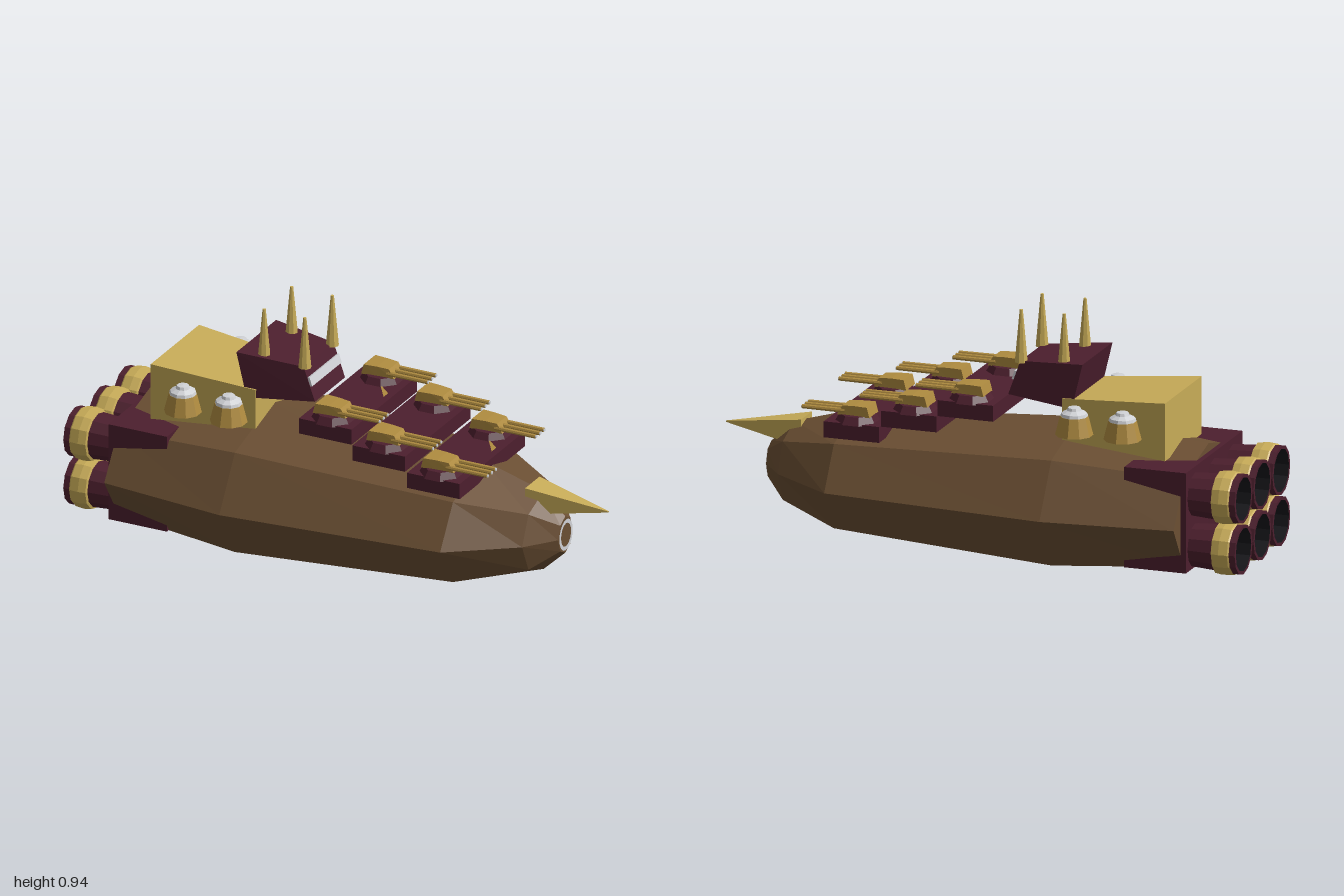
import * as THREE from 'three';

const mat = (name, color, side = THREE.FrontSide) => {
  const m = new THREE.MeshStandardMaterial({ color, flatShading: true, side });
  m.name = name;
  return m;
};

export function createModel() {
  const brown = mat('hull brown', 0x6b4f33);
  const maroon = mat('maroon', 0x4d1f2e);
  const gold = mat('pale gold', 0xc8ac58);
  const bronze = mat('bronze', 0xb08c40);
  const white = mat('pale grey', 0xd0d2d6, THREE.DoubleSide);
  const black = mat('black', 0x16161a);

  const ship = new THREE.Group();
  ship.name = 'ship';

  const add = (name, geo, material, x = 0, y = 0, z = 0, parent = ship) => {
    const m = new THREE.Mesh(geo, material);
    m.name = name;
    m.position.set(x, y, z);
    parent.add(m);
    return m;
  };

  // Skin a row of [x, y, z] rings running toward +x, with flat end caps
  const loft = (rings) => {
    const v = [];
    const n = rings[0].length;
    for (let r = 0; r < rings.length - 1; r++) {
      for (let i = 0; i < n; i++) {
        const j = (i + 1) % n;
        const [a, b] = [rings[r], rings[r + 1]];
        v.push(...a[i], ...b[i], ...a[j], ...b[i], ...b[j], ...a[j]);
      }
    }
    const first = rings[0], last = rings[rings.length - 1];
    for (let i = 1; i < n - 1; i++) {
      v.push(...first[0], ...first[i], ...first[i + 1]);
      v.push(...last[0], ...last[i + 1], ...last[i]);
    }
    const g = new THREE.BufferGeometry();
    g.setAttribute('position', new THREE.Float32BufferAttribute(v, 3));
    g.computeVertexNormals();
    return g;
  };

  // Rectangular section; the bottom and top may sit at different x
  const rect = (xBottom, xTop, y0, y1, w) =>
    [[xBottom, y0, w], [xTop, y1, w], [xTop, y1, -w], [xBottom, y0, -w]];

  // Cylinders and lathes turned to lie along x
  const alongX = (g) => g.rotateZ(-Math.PI / 2);
  const latheX = (pts, sides = 12) =>
    alongX(new THREE.LatheGeometry(pts.map(([r, x]) => new THREE.Vector2(r, x)), sides));

  // Eight-sided hull: x, half height, half width
  const sections = [
    [-0.8, 0.225, 0.355], [-0.32, 0.27, 0.41], [0.51, 0.217, 0.335],
    [0.745, 0.15, 0.165], [0.83, 0.07, 0.055],
  ];
  add('hull', loft(sections.map(([x, h, w]) =>
    Array.from({ length: 8 }, (_, i) => {
      const a = (i * Math.PI) / 4;
      return [x, 0.272 + h * Math.sin(a), w * Math.cos(a)];
    }))), brown);

  // Nose lamp ring and horn
  const lamp = add('noseRing', new THREE.RingGeometry(0.038, 0.051, 20).rotateY(Math.PI / 2),
    white, 0.833, 0.272, 0);
  lamp.scale.y = 1.15;
  add('noseHorn', loft([rect(0.7, 0.7, 0.345, 0.445, 0.055),
    rect(1, 1, 0.393, 0.397, 0.002)]), gold);

  // Engine block and six hollow engines
  add('engineBlock', new THREE.BoxGeometry(0.23, 0.365, 0.57), maroon, -0.705, 0.283, 0);
  const shell = latheX([[0.078, -1], [0.09, -1], [0.09, -0.975], [0.084, -0.91], [0.078, -0.82]]);
  const band = latheX([[0.088, -0.98], [0.094, -0.972], [0.097, -0.94], [0.093, -0.912], [0.083, -0.908]]);
  const bore = latheX([[0.078, -0.925], [0.078, -1]]);
  const glow = new THREE.CircleGeometry(0.078, 12).rotateY(-Math.PI / 2);
  for (const y of [0.18, 0.365]) {
    for (const z of [-0.19, 0, 0.19]) {
      const engine = new THREE.Group();
      engine.name = 'engine';
      engine.position.set(0, y, z);
      ship.add(engine);
      add('engineShell', shell, maroon, 0, 0, 0, engine);
      add('engineBand', band, gold, 0, 0, 0, engine);
      add('engineBore', bore, black, 0, 0, 0, engine);
      add('engineGlow', glow, white, -0.925, 0, 0, engine);
    }
  }

  // Tapered rear housing
  add('rearHousing', loft([rect(-0.705, -0.705, 0.47, 0.68, 0.185),
    rect(-0.31, -0.31, 0.5, 0.65, 0.152)]), gold);

  // Bridge with window strip
  add('bridge', loft([rect(-0.345, -0.385, 0.615, 0.78, 0.152),
    rect(-0.095, -0.14, 0.635, 0.76, 0.115)]), maroon);
  const strip = add('bridgeWindow', new THREE.BoxGeometry(0.012, 0.034, 0.226), white, -0.118, 0.705, 0);
  strip.rotation.z = 0.33;

  // Spires on the bridge
  const spire = new THREE.CylinderGeometry(0.006, 0.024, 0.19, 8);
  for (const x of [-0.3, -0.14]) {
    for (const z of [-0.105, 0.105]) add('spire', spire, gold, x, 0.85, z);
  }

  // Domed pods beside the rear housing
  const podBase = new THREE.CylinderGeometry(0.05, 0.067, 0.068, 10);
  const podDome = new THREE.LatheGeometry([[0.05, 0], [0.046, 0.014], [0.026, 0.024], [0.022, 0.034], [0, 0.036]]
    .map(([r, y]) => new THREE.Vector2(r, y)), 10);
  for (const x of [-0.56, -0.38]) {
    for (const z of [-0.22, 0.22]) {
      add('podBase', podBase, bronze, x, 0.579, z);
      add('podDome', podDome, white, x, 0.61, z);
    }
  }

  // Three stepped decks, each with a pair of triple-barrelled turrets
  const turretBase = new THREE.CylinderGeometry(0.064, 0.081, 0.028, 8).rotateY(Math.PI / 8);
  const turretHead = loft([rect(-0.06, -0.05, 0, 0.037, 0.045), rect(0, 0, 0, 0.037, 0.04),
    rect(0.065, 0.045, 0, 0.034, 0.036)]);
  const barrel = alongX(new THREE.CylinderGeometry(0.008, 0.009, 0.16, 8));
  const muzzle = alongX(new THREE.CylinderGeometry(0.006, 0.006, 0.004, 8));
  const mark = (pts) => new THREE.ShapeGeometry(new THREE.Shape(
    pts.map(([x, z]) => new THREE.Vector2(x, -z)))).rotateX(-Math.PI / 2);
  const marks = [mark([[0.02, -0.13], [0.08, -0.075], [0.08, -0.04]]),
    mark([[-0.1, 0.03], [-0.1, 0.065], [-0.045, 0.13]])];

  [[0.015, 0.57], [0.225, 0.51], [0.44, 0.45]].forEach(([x, y], level) => {
    const deck = new THREE.Group();
    deck.name = 'gunDeck';
    deck.position.set(x, y, 0);
    ship.add(deck);
    add('deckPlate', new THREE.BoxGeometry(0.207, 0.058, 0.5), maroon, 0, 0.029, 0, deck);
    if (level !== 1) {
      for (const g of marks) add('deckMark', g, bronze, 0, 0.06, 0, deck);
    }
    for (const z of [-0.185, 0.185]) {
      const turret = new THREE.Group();
      turret.name = 'turret';
      turret.position.set(0, 0.058, z);
      deck.add(turret);
      add('turretBase', turretBase, maroon, 0, 0.01, 0, turret);
      add('turretHead', turretHead, bronze, 0, 0.022, 0, turret);
      for (const off of [-0.031, 0, 0.031]) {
        add('barrel', barrel, bronze, 0.115, 0.037, off, turret);
        add('muzzle', muzzle, white, 0.196, 0.037, off, turret);
      }
    }
  });

  return ship;
}
